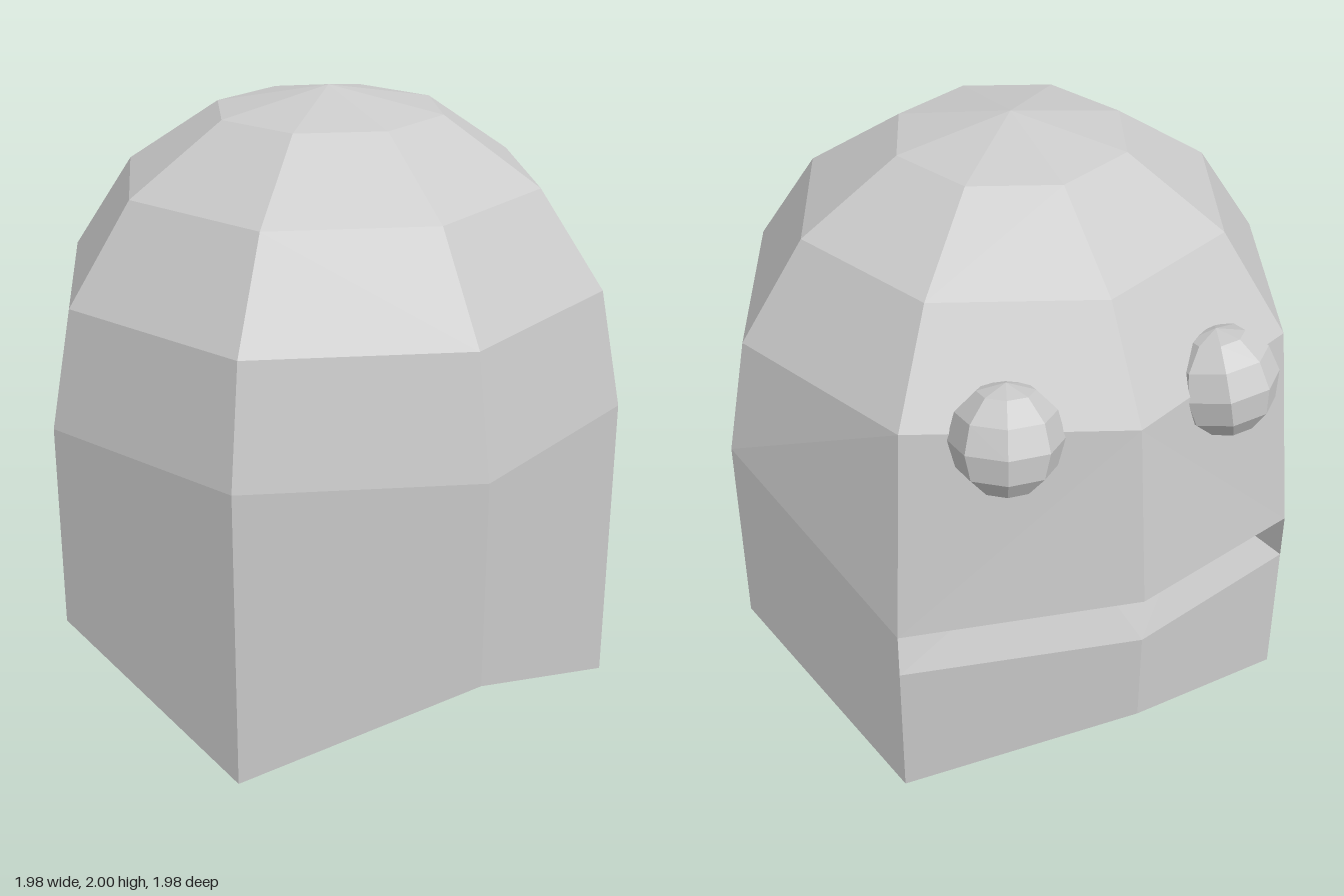
import * as THREE from 'three';

const SIDES = 8, BACK = 4;
const material = new THREE.MeshStandardMaterial({ color: 0xcccccc, flatShading: true, side: THREE.DoubleSide });

// Point on the octagon; column 0 faces +z, column 4 faces -z
function ringPoint(i, r, y) {
  const a = (i * Math.PI * 2) / SIDES;
  return [Math.sin(a) * r, y, Math.cos(a) * r];
}

function meshFrom(name, triangles) {
  const geometry = new THREE.BufferGeometry();
  geometry.setAttribute('position', new THREE.Float32BufferAttribute(triangles.flat(2), 3));
  geometry.computeVertexNormals();
  const mesh = new THREE.Mesh(geometry, material);
  mesh.name = name;
  return mesh;
}

// Corners run counter-clockwise as seen from outside; flip swaps the diagonal
function quad(out, a, b, c, d, flip) {
  if (flip) out.push([a, b, d], [b, c, d]);
  else out.push([a, b, c], [a, c, d]);
}

const R = 0.99;
const mouthDistance = (i) => Math.abs((i % SIDES) - BACK);
// Lip heights: the mouth rises at the middle column
const lipY = (i, low) => (mouthDistance(i) === 0 ? 0.63 : 0.5) + (low ? 0 : 0.16);
const hem = (i) => ringPoint(i, R, i % 2 ? 0 : 0.305);

function buildBody() {
  const tris = [];
  const profile = [[0, 2], [0.38, 1.925], [0.7, 1.71], [0.915, 1.39], [R, 1]];
  // The lowest dome ring drops down to the upper lip around the mouth
  const domePoint = (k, i) => {
    const y = k === 4 && mouthDistance(i) <= 1 ? lipY(i, false) : profile[k][1];
    return ringPoint(i, profile[k][0], y);
  };
  for (let i = 0; i < SIDES; i++) {
    const j = i + 1, flip = i >= BACK;
    // Dome
    tris.push([domePoint(0, i), domePoint(1, i), domePoint(1, j)]);
    for (let k = 1; k < 4; k++) {
      quad(tris, domePoint(k, i), domePoint(k + 1, i), domePoint(k + 1, j), domePoint(k, j), !flip);
    }
    // Skirt with zigzag hem, starting at the lower lip under the mouth
    const inMouth = i === BACK - 1 || i === BACK;
    const top = (n) => (inMouth ? ringPoint(n, R, lipY(n, true)) : domePoint(4, n));
    quad(tris, top(i), hem(i), hem(j), top(j), false);
  }
  return meshFrom('body', tris);
}

// Recessed mouth: floor, ceiling, side walls and back wall
function buildMouth() {
  const tris = [];
  const outer = (i, low) => ringPoint(i, R, lipY(i, low));
  const inner = (i, low) => [0.61 * (BACK - i), lipY(i, low), i === BACK ? -0.42 : -0.3];
  for (const i of [BACK - 1, BACK]) {
    const j = i + 1;
    quad(tris, outer(i, true), outer(j, true), inner(j, true), inner(i, true));
    quad(tris, outer(i, false), inner(i, false), inner(j, false), outer(j, false));
    quad(tris, inner(i, false), inner(i, true), inner(j, true), inner(j, false));
  }
  for (const i of [BACK - 1, BACK + 1]) {
    quad(tris, outer(i, false), outer(i, true), inner(i, true), inner(i, false));
  }
  return meshFrom('mouth', tris);
}

export function createModel() {
  const model = new THREE.Group();
  model.name = 'model';
  model.add(buildBody(), buildMouth());

  // Faceted eyes, tilted to follow the sloping face
  for (const side of [1, -1]) {
    const eye = new THREE.Mesh(new THREE.SphereGeometry(0.172, 8, 6), material);
    eye.name = side > 0 ? 'leftEye' : 'rightEye';
    eye.position.set(0.36 * side, 1.37, -0.765);
    eye.rotation.set(0.25, -0.39 * side, 0, 'YXZ');
    model.add(eye);
  }
  return model;
}
